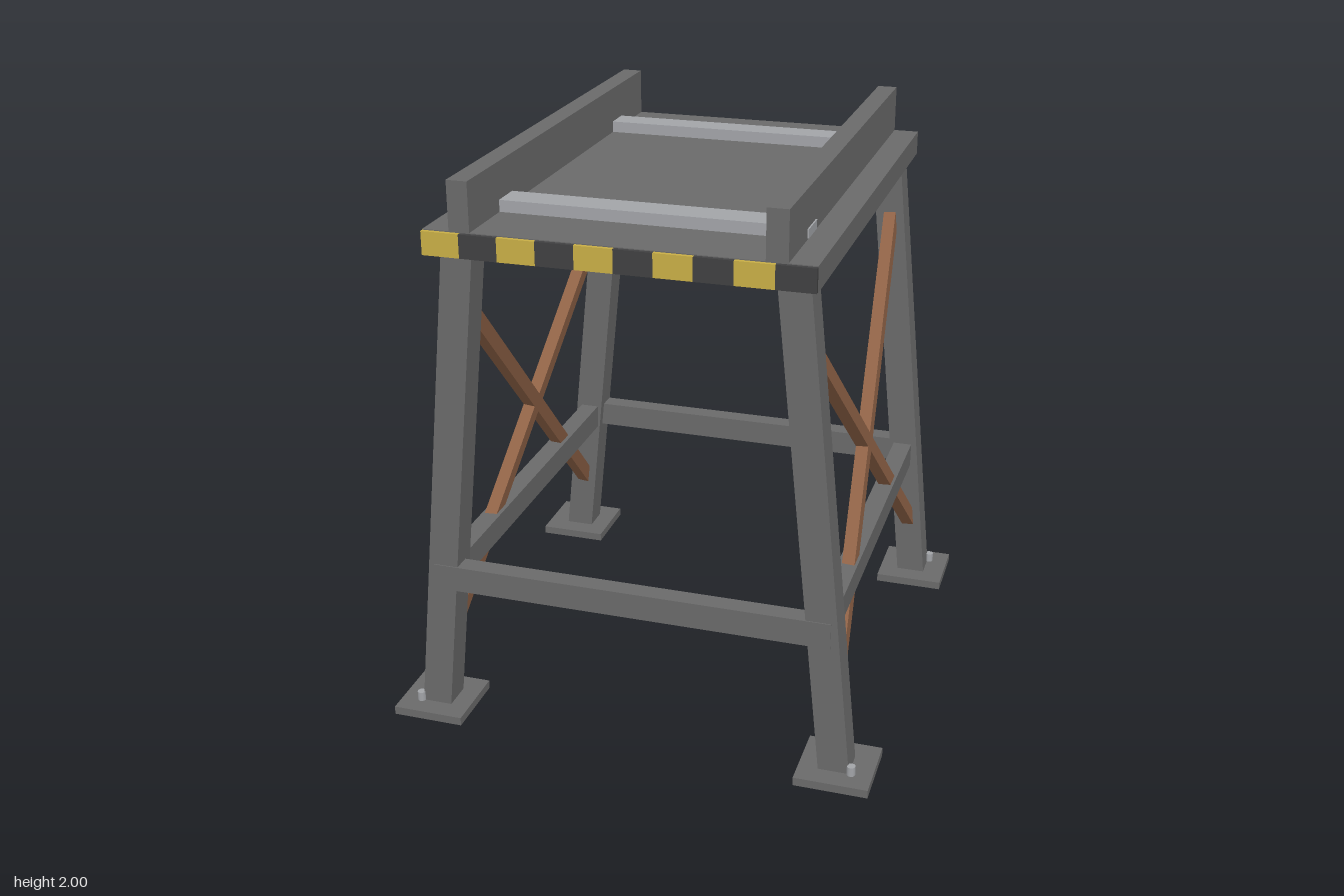
import * as THREE from 'three';

const mat = (name, color) => {
  const m = new THREE.MeshStandardMaterial({ color });
  m.name = name;
  return m;
};

export function createModel() {
  const steel = mat('grey steel', 0x6a6a6a);
  const bright = mat('bright steel', 0xa2a4a8);
  const rust = mat('rusty brown', 0x8f6246);
  const yellow = mat('hazard yellow', 0xc8ae46);
  const black = mat('hazard black', 0x404041);

  const model = new THREE.Group();
  model.name = 'steelStand';

  // Axis-aligned box given by its limits on each axis
  const box = (name, material, [x0, x1], [y0, y1], [z0, z1]) => {
    const mesh = new THREE.Mesh(new THREE.BoxGeometry(x1 - x0, y1 - y0, z1 - z0), material);
    mesh.position.set((x0 + x1) / 2, (y0 + y1) / 2, (z0 + z1) / 2);
    mesh.name = name;
    model.add(mesh);
    return mesh;
  };

  // Square bar between two points; side is the direction of its thickness
  const bar = (name, material, a, b, width, thick, side) => {
    const dir = b.clone().sub(a);
    const mesh = new THREE.Mesh(new THREE.BoxGeometry(thick, dir.length(), width), material);
    const y = dir.normalize();
    const z = side.clone().cross(y).normalize();
    const x = y.clone().cross(z);
    mesh.quaternion.setFromRotationMatrix(new THREE.Matrix4().makeBasis(x, y, z));
    mesh.position.copy(a).add(b).multiplyScalar(0.5);
    mesh.name = name;
    model.add(mesh);
  };

  // Distance of the leaning leg's centre line from the middle at height y
  const legX = (y) => 0.729 - 0.102 * y;
  const legZ = 0.73;
  const at = (s, y, z) => new THREE.Vector3(s * legX(y), y, z);

  // Deck with two bright cross strips
  box('deck', steel, [-0.635, 0.635], [1.75, 1.835], [-0.84, 0.84]);
  box('frontStrip', bright, [-0.475, 0.475], [1.83, 1.875], [0.49, 0.6]);
  box('backStrip', bright, [-0.475, 0.475], [1.83, 1.875], [-0.6, -0.5]);
  box('sidePlate', bright, [0.543, 0.55], [1.84, 1.87], [0.495, 0.605]);

  // Hazard stripes along the front edge of the deck
  for (let i = 0; i < 10; i++) {
    const x = -0.635 + i * 0.127;
    box('hazardStripe', i % 2 ? black : yellow, [x, x + 0.127], [1.753, 1.832], [0.838, 0.854]);
  }

  for (const s of [-1, 1]) {
    const side = new THREE.Vector3(s, 0.102 * s * s, 0).normalize();
    const outward = new THREE.Vector3(s, 0.102, 0).normalize();

    // Guide rail on the deck and lower side beam
    const rail = box('guideRail', steel, [-0.035, 0.035], [1.833, 2], [-0.84, 0.84]);
    rail.position.x = s * 0.51;
    const beam = box('sideBeam', steel, [-0.035, 0.035], [0.515, 0.605], [-0.775, 0.78]);
    beam.position.x = s * 0.665;

    // Crossed braces in the plane of the leaning legs
    for (const d of [-1, 1]) {
      bar('crossBrace', rust, at(s, 1.543, d * 0.7), at(s, 0.267, -d * 0.7), 0.055, 0.045, outward);
    }

    // Legs, foot plates and anchor bolts
    for (const f of [-1, 1]) {
      bar('leg', steel, at(s, 0.006, f * legZ), at(s, 1.76, f * legZ), 0.106, 0.106, side);
      const foot = box('footPlate', steel, [-0.1275, 0.1275], [0.012, 0.042], [-0.1275, 0.1275]);
      foot.position.x = s * 0.73;
      foot.position.z = f * 0.729;
      const bolt = new THREE.Mesh(new THREE.CylinderGeometry(0.015, 0.015, 0.045, 12), bright);
      bolt.position.set(s * 0.785, 0.053, f * 0.782);
      bolt.name = 'anchorBolt';
      model.add(bolt);
    }
  }

  // Lower beams across the front and back
  box('frontBeam', steel, [-0.7, 0.7], [0.514, 0.606], [0.717, 0.787]);
  box('backBeam', steel, [-0.7, 0.7], [0.514, 0.606], [-0.78, -0.71]);

  return model;
}
